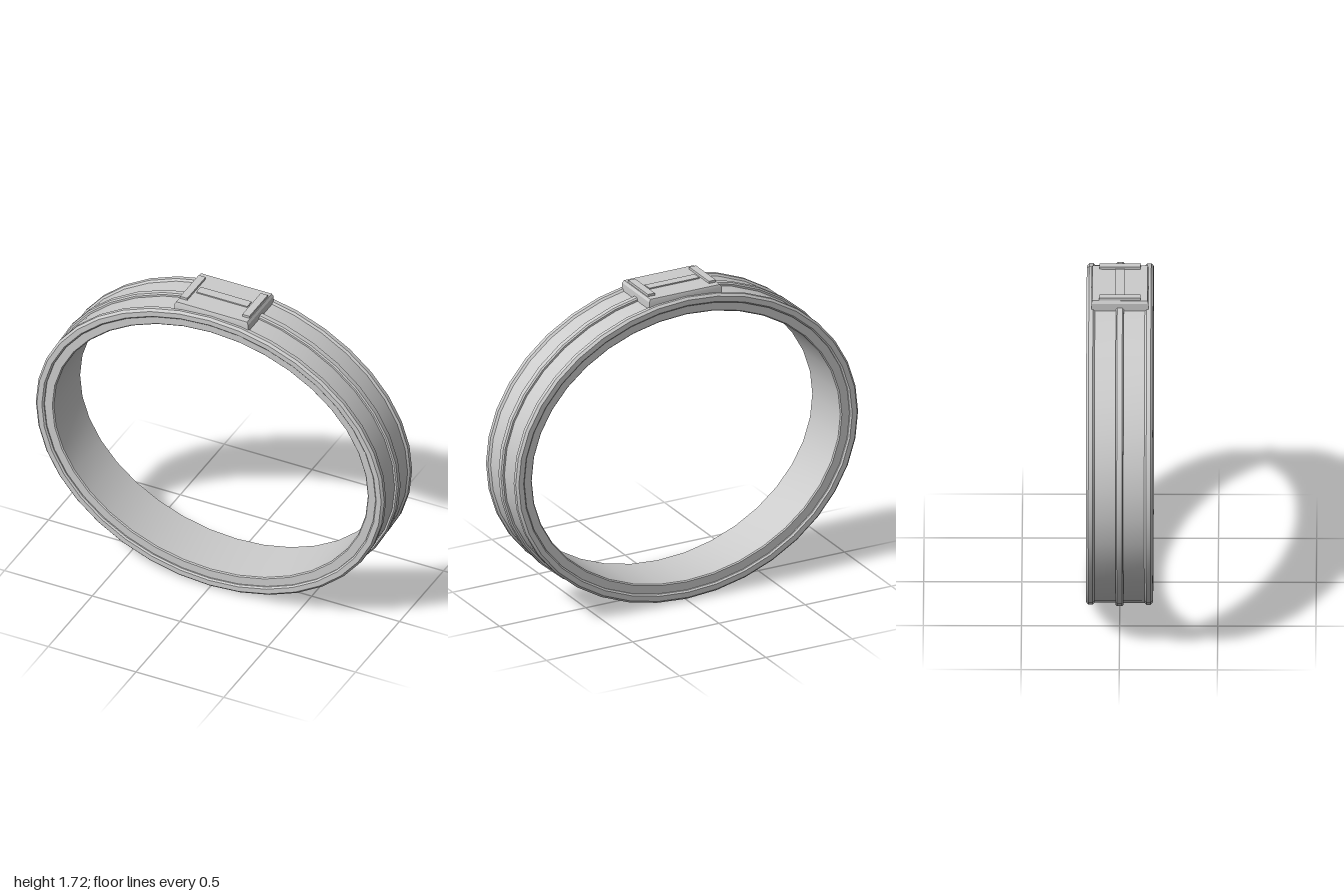
import * as THREE from 'three';
import { toCreasedNormals } from 'three/addons/utils/BufferGeometryUtils.js';

const RX = 1.0, RY = 0.843, SEGMENTS = 36;
const material = new THREE.MeshStandardMaterial({ color: 0xcccccc });

function addMesh(group, name, geometry) {
  const mesh = new THREE.Mesh(geometry, material);
  mesh.name = name;
  group.add(mesh);
  return mesh;
}

// Oval ring with a chamfered rectangular section: radii r0..r1, depth z0..z1
function ovalRing(r0, r1, z0, z1, outer, inner) {
  const profile = [
    [r1, z0 + outer], [r1, z1 - outer], [r1 - outer, z1], [r0 + inner, z1],
    [r0, z1 - inner], [r0, z0 + inner], [r0 + inner, z0], [r1 - outer, z0], [r1, z0 + outer],
  ].map(([r, z]) => new THREE.Vector2(r, z));
  const geometry = new THREE.LatheGeometry(profile, SEGMENTS);
  geometry.rotateX(Math.PI / 2);
  // Flatten to an oval while keeping the wall thickness constant
  const p = geometry.attributes.position;
  for (let i = 0; i < p.count; i++) {
    const r = Math.hypot(p.getX(i), p.getY(i));
    p.setY(i, p.getY(i) * (r - (RX - RY)) / r + RY);
  }
  return toCreasedNormals(geometry, 0.5);
}

// Plate with bevelled upper ends and sides
function clampPlate() {
  const geometry = new THREE.BoxGeometry(0.42, 0.065, 0.29, 1, 2, 1);
  const p = geometry.attributes.position;
  for (let i = 0; i < p.count; i++) {
    const y = p.getY(i);
    if (y > 0.03) {
      p.setX(i, p.getX(i) * 0.96);
      p.setZ(i, p.getZ(i) * 0.97);
    } else if (Math.abs(y) < 0.01) {
      p.setY(i, 0.018);
    }
  }
  return toCreasedNormals(geometry, 0.3);
}

export function createModel() {
  const group = new THREE.Group();

  // Main band, raised rims on both edges and a rib round the middle
  addMesh(group, 'band', ovalRing(0.895, 0.983, -0.155, 0.155, 0.005, 0.006));
  addMesh(group, 'frontRim', ovalRing(0.945, 0.993, 0.125, 0.17, 0.012, 0.008));
  addMesh(group, 'backRim', ovalRing(0.945, 0.993, -0.17, -0.125, 0.012, 0.008));
  addMesh(group, 'centreRib', ovalRing(0.96, RX, -0.02, 0.02, 0.007, 0.004));

  // Plate on top with two end bars and a low slot bar between them
  addMesh(group, 'topPlate', clampPlate()).position.y = 1.67;
  for (const side of [1, -1]) {
    const bar = addMesh(group, side > 0 ? 'leftBar' : 'rightBar', new THREE.BoxGeometry(0.04, 0.025, 0.21));
    bar.position.set(side * 0.177, 1.7025, 0);
  }
  addMesh(group, 'slotBar', new THREE.BoxGeometry(0.29, 0.02, 0.05)).position.y = 1.699;

  return group;
}
